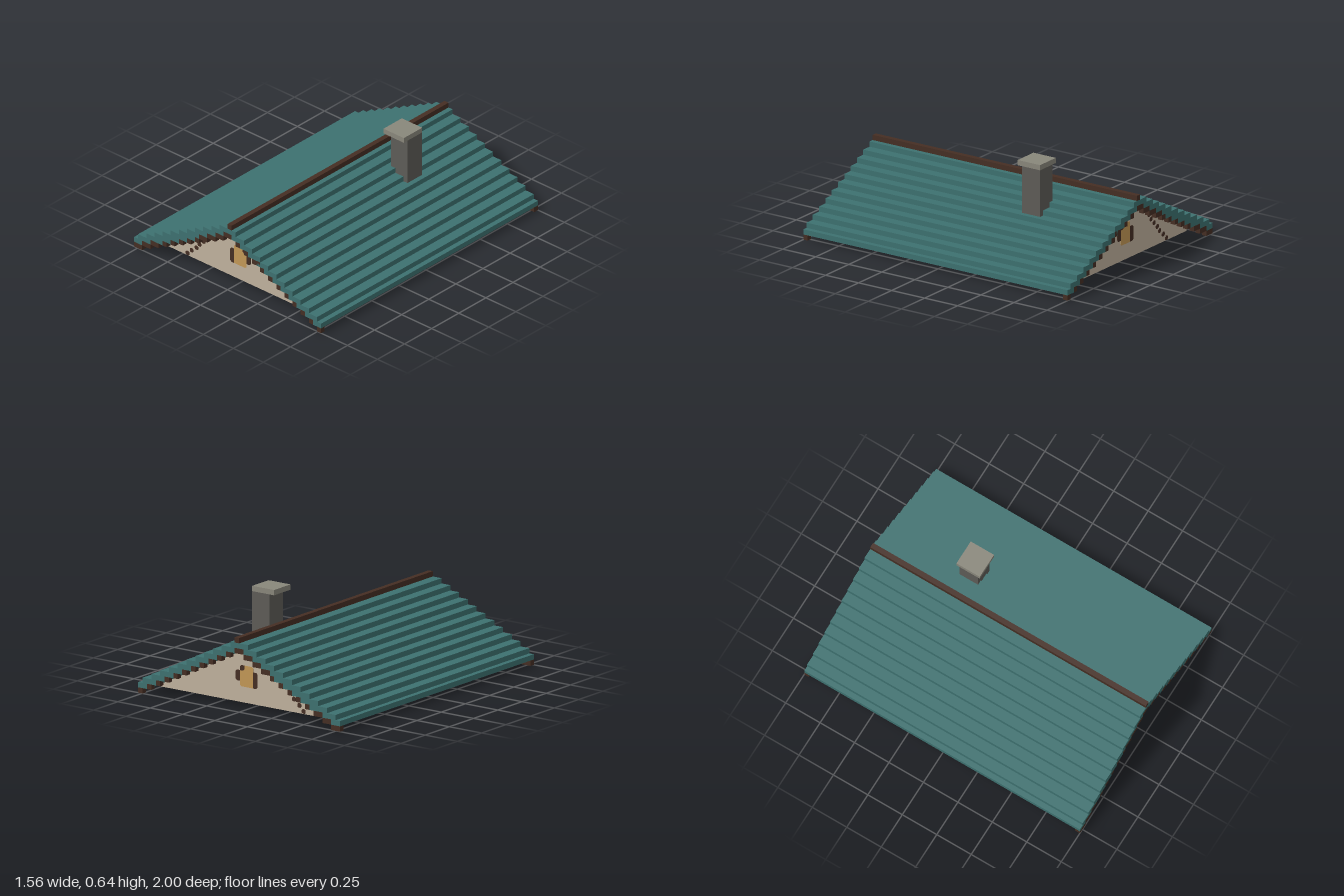
import * as THREE from 'three';

const U = 2 / 59; // one block
const END = 29.5; // half the length in blocks

const mat = (name, color, side = THREE.FrontSide) => {
  const m = new THREE.MeshStandardMaterial({ color, side });
  m.name = name;
  return m;
};

export function createModel() {
  const teal = mat('teal tiles', 0x3d7170);
  const brown = mat('dark timber', 0x452e23);
  const cream = mat('cream plaster', 0xc0b19d);
  const amber = mat('amber glass', 0xc29756);
  const grey = mat('chimney stone', 0x5e5c57);
  const capGrey = mat('cap stone', 0x89877b);

  const root = new THREE.Group();
  root.name = 'gableRoof';
  const group = (name) => {
    const g = new THREE.Group();
    g.name = name;
    root.add(g);
    return g;
  };

  // Box given by its limits in blocks
  const box = (parent, name, m, x0, x1, y0, y1, z0, z1) => {
    const mesh = new THREE.Mesh(new THREE.BoxGeometry((x1 - x0) * U, (y1 - y0) * U, (z1 - z0) * U), m);
    mesh.position.set((x0 + x1) / 2 * U, (y0 + y1) / 2 * U, (z0 + z1) / 2 * U);
    mesh.name = name;
    parent.add(mesh);
  };

  // Flat outline in blocks, extruded along z
  const slab = (parent, name, m, points, z0, z1) => {
    const shape = new THREE.Shape(points.map(([x, y]) => new THREE.Vector2(x * U, y * U)));
    const geo = new THREE.ExtrudeGeometry(shape, { depth: (z1 - z0) * U, bevelEnabled: false });
    const mesh = new THREE.Mesh(geo, m);
    mesh.position.z = z0 * U;
    mesh.name = name;
    parent.add(mesh);
  };

  // Inner edge of the tiles on each course, counted from the ridge down
  const innerLeft = [0, -1, -3, -5, -7, -8, -10, -12, -14, -16, -19, -21];
  const outer = (k) => Math.min(2 + 2 * k, 23);

  // Stepped tile courses
  const tiles = group('roofTiles');
  box(tiles, 'topCourse', teal, -2, 2, 12, 13, -END, END);
  for (let k = 1; k <= 11; k++) {
    box(tiles, 'courseRight', teal, -outer(k), innerLeft[k], 12 - k, 13 - k, -END, END);
    box(tiles, 'courseLeft', teal, 2 * k - 1, outer(k), 12 - k, 13 - k, -END, END);
  }
  box(root, 'ridgeBeam', brown, 0, 1, 13, 14, -END, END);

  // Timber under the tiles at both ends: [x0, x1] per course
  const barge = group('bargeBoards');
  const wideCourses = [2, 3, 4, 10, 11];
  for (const z0 of [-END, END - 1]) {
    box(barge, 'peakBoard', brown, -1, 1, 11, 12, z0, z0 + 1);
    for (let k = 2; k <= 12; k++) {
      const y = 12 - k;
      if (k < 12) {
        const w = wideCourses.includes(k) ? 2 : 1;
        box(barge, 'boardRight', brown, innerLeft[k], innerLeft[k] + w, y, y + 1, z0, z0 + 1);
      } else {
        box(barge, 'footRight', brown, -23, -21, 0, 1, z0, z0 + 1);
      }
      const x = 2 * k - 2;
      box(barge, 'boardLeft', brown, x, x + (k === 4 ? 2 : 1), y, y + 1, z0, z0 + 1);
    }
  }

  // Gable walls with a round window and a broken diagonal brace
  const brace = [[-12.5, 1.5], [-11.5, 2.5], [-10.3, 3.5], [-9.6, 4.5], [-8.6, 5.5], [-7.6, 6.5], [-7, 7.5]];
  const c = 0.3;
  for (const s of [1, -1]) {
    const g = group(s > 0 ? 'frontGable' : 'backGable');
    const z0 = s > 0 ? 24.5 : -26.5;
    const z1 = z0 + 2;
    for (let k = 1; k <= 11; k++) {
      const x0 = k === 11 ? -19 : innerLeft[k];
      const x1 = k === 11 ? 20 : 2 * k - 1;
      box(g, 'wallCourse', cream, x0, x1, 12 - k, 13 - k, z0, z1);
    }
    const a = z0 - 0.08, b = z1 + 0.08;
    slab(g, 'windowPane', amber,
      [[-1, 4], [2 - c, 4], [2, 4 + c], [2, 7], [1 + c, 7], [1, 7 + c], [1, 8], [-1 + c, 8], [-1, 8 - c]], a, b);
    slab(g, 'windowFrameRight', brown,
      [[-2 + c, 4], [-1, 4], [-1, 7], [-2 + c, 7], [-2, 7 - c], [-2, 4 + c]], a, b);
    slab(g, 'windowFrameLeft', brown,
      [[2, 5], [3 - c, 5], [3, 5 + c], [3, 7 - c], [3 - c, 7], [2, 7], [2, 8 - c], [2 - c, 8], [1, 8],
        [1, 7 + c], [1 + c, 7], [2, 7]].slice(0, 6), a, b);
    slab(g, 'windowFrameTop', brown,
      [[1 + c, 7], [2, 7], [2, 8 - c], [2 - c, 8], [1, 8], [1, 7 + c]], a, b);
    // brace chips lie on the outer face
    const f = s > 0 ? z1 : z0 - 0.1;
    for (const [x, y] of brace) {
      const r = 0.42, q = 0.22;
      slab(g, 'braceChip', brown,
        [[x - q, y - r], [x + q, y - r], [x + r, y - q], [x + r, y + q],
          [x + q, y + r], [x - q, y + r], [x - r, y + q], [x - r, y - q]], f, f + 0.1);
    }
  }

  // Hollow chimney shaft through the roof, closed by a cap
  const chimney = group('chimney');
  box(chimney, 'shaftSide', grey, 5, 6, 7, 18, -13.5, -9.5);
  box(chimney, 'shaftSide', grey, 8, 9, 7, 18, -13.5, -9.5);
  box(chimney, 'shaftBack', grey, 6, 8, 7, 18, -13.5, -12.5);
  box(chimney, 'shaftFront', grey, 6, 8, 7, 18, -10.5, -9.5);
  box(chimney, 'chimneyCap', capGrey, 4, 9, 18, 19, -13.5, -8.5);

  return root;
}
